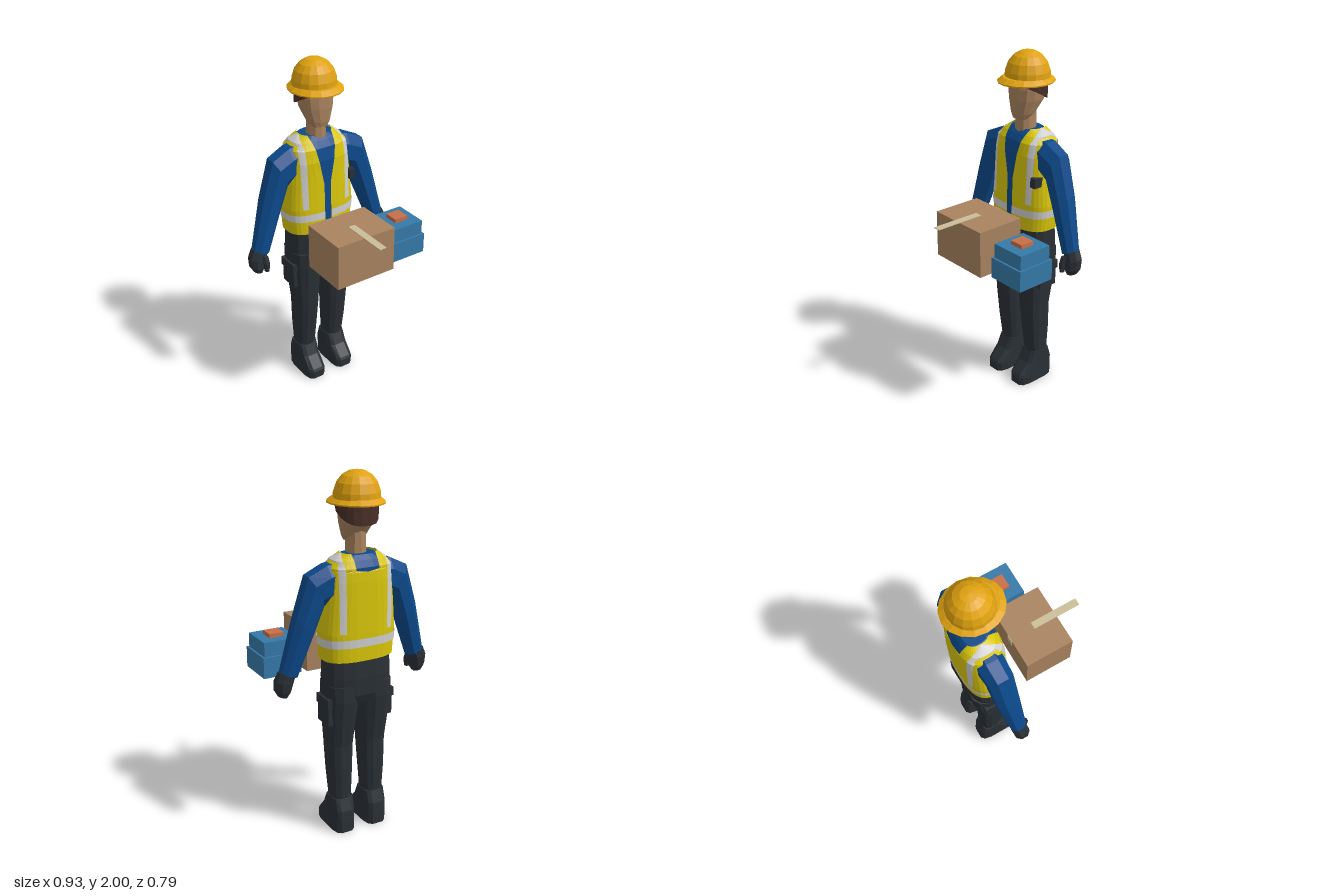
import * as THREE from 'three';

const mat = (name, color, side = THREE.FrontSide) => {
  const m = new THREE.MeshStandardMaterial({ color, side });
  m.name = name;
  return m;
};

// Flat-shaded copy of a geometry
function flat(geo) {
  const g = geo.index ? geo.toNonIndexed() : geo;
  g.computeVertexNormals();
  return g;
}

// Loop of points; section = [x1, y1, x0, y0, z0, z1], the two opposite edge points and the depth range
function ring([x1, y1, x0, y0, z0, z1], n, p) {
  const pw = v => Math.sign(v) * Math.abs(v) ** p;
  return Array.from({ length: n }, (_, i) => {
    const a = (i + 0.5) / n * Math.PI * 2, c = pw(Math.cos(a)), s = pw(Math.sin(a));
    return new THREE.Vector3((x1 + x0) / 2 + (x1 - x0) / 2 * c,
      (y1 + y0) / 2 + (y1 - y0) / 2 * c, (z1 + z0) / 2 + (z1 - z0) / 2 * s);
  });
}

// Capped skin through loops, turned outward by its signed volume
function loft(rings) {
  const tris = [], n = rings[0].length;
  const centre = r => r.reduce((s, v) => s.add(v), new THREE.Vector3()).divideScalar(n);
  const first = rings[0], last = rings[rings.length - 1], c0 = centre(first), c1 = centre(last);
  for (let i = 0; i < n; i++) {
    const j = (i + 1) % n;
    tris.push([c0, first[j], first[i]], [c1, last[i], last[j]]);
    for (let k = 0; k + 1 < rings.length; k++) {
      const a = rings[k], b = rings[k + 1];
      tris.push([a[i], a[j], b[j]], [a[i], b[j], b[i]]);
    }
  }
  const vol = tris.reduce((s, [a, b, c]) => s + a.clone().sub(c0).dot(b.clone().sub(c0).cross(c.clone().sub(c0))), 0);
  const pts = tris.flatMap(t => (vol < 0 ? [t[0], t[2], t[1]] : t));
  return flat(new THREE.BufferGeometry().setFromPoints(pts));
}

// Torso sections: y, half width, back z, front z
const TORSO = [[1.02, 0.198, -0.36, -0.125], [1.17, 0.208, -0.362, -0.126], [1.32, 0.195, -0.362, -0.13],
  [1.45, 0.182, -0.362, -0.132], [1.52, 0.172, -0.358, -0.145], [1.555, 0.14, -0.34, -0.168], [1.58, 0.09, -0.32, -0.192]];
const TP = 0.75;

function torsoAt(y) {
  let k = 0;
  while (k < TORSO.length - 2 && y > TORSO[k + 1][0]) k++;
  const a = TORSO[k], b = TORSO[k + 1], t = (y - a[0]) / (b[0] - a[0]);
  return a.map((v, i) => v + (b[i] - v) * t);
}

// Thin cloth patch on the torso between x limits; s = side, f = front (1) or back (-1)
function patch(y0, y1, xa, xb, s, f, off) {
  const ys = [y0, y1, ...[...TORSO.map(r => r[0]), 1.31, 1.5, 1.51].filter(y => y > y0 && y < y1)];
  ys.sort((a, b) => a - b);
  const N = 8, pts = [];
  const rows = ys.map(y => {
    const [, w, zb, zf] = torsoAt(y);
    const ang = x => Math.asin(Math.min(1, x / w) ** (1 / TP));
    const a = ang(xa(y)), b = ang(xb);
    return Array.from({ length: N + 1 }, (_, i) => {
      const t = a + (b - a) * i / N;
      return new THREE.Vector3(s * (w + off) * Math.sin(t) ** TP, y + (y > 1.57 ? off : 0),
        (zf + zb) / 2 + f * ((zf - zb) / 2 + off) * Math.max(0, Math.cos(t)) ** TP);
    });
  });
  for (let k = 0; k + 1 < rows.length; k++) for (let i = 0; i < N; i++) {
    const a = rows[k][i], b = rows[k][i + 1], c = rows[k + 1][i + 1], d = rows[k + 1][i];
    pts.push(...(s * f > 0 ? [a, b, c, a, c, d] : [a, c, b, a, d, c]));
  }
  return flat(new THREE.BufferGeometry().setFromPoints(pts));
}

export function createModel() {
  const M = {
    vest: mat('vest yellow', 0xd9c60a, THREE.DoubleSide), gold: mat('helmet gold', 0xe0a20f),
    blue: mat('shirt blue', 0x0c4a8c), dark: mat('charcoal', 0x2a3036),
    tan: mat('tan', 0xa9835f), hair: mat('hair brown', 0x4a2f28),
    silver: mat('reflective silver', 0xcfcfcf, THREE.DoubleSide), crate: mat('crate blue', 0x3579a8),
    orange: mat('orange', 0xc66f47), tape: mat('tape beige', 0xcabd98),
  };
  const model = new THREE.Group();
  const add = (name, geo, m) => {
    const mesh = new THREE.Mesh(geo, m);
    mesh.name = name;
    model.add(mesh);
    return mesh;
  };
  const box = (name, x0, x1, y0, y1, z0, z1, m) =>
    add(name, new THREE.BoxGeometry(x1 - x0, y1 - y0, z1 - z0), m)
      .position.set((x0 + x1) / 2, (y0 + y1) / 2, (z0 + z1) / 2);
  // Stack of sections [y, x0, x1, z0, z1], mirrored by s
  const stack = (rows, n, p, s = 1) => loft(rows.map(([y, x0, x1, z0, z1]) => ring([s * x1, y, s * x0, y, z0, z1], n, p)));

  // Shirt body, neck and head
  add('shirt', stack(TORSO.map(([y, w, zb, zf]) => [y, -w, w, zb, zf]), 20, TP), M.blue);
  add('neck', stack([[1.55, -0.056, 0.056, -0.295, -0.175], [1.7, -0.05, 0.05, -0.29, -0.18]], 10, 0.9), M.tan);
  add('head', stack([[1.635, -0.045, 0.045, -0.22, -0.162], [1.665, -0.066, 0.066, -0.27, -0.154],
    [1.74, -0.092, 0.092, -0.325, -0.148], [1.8, -0.1, 0.1, -0.335, -0.148], [1.86, -0.098, 0.098, -0.335, -0.155]], 12, 0.85), M.tan);

  // Hair with a lower edge that drops towards the back
  const under = ring([0.108, 1.8, -0.108, 1.8, -0.345, -0.14], 16, 0.85);
  under.forEach(v => { v.y = Math.min(1.83, 1.8 + (v.z + 0.2) * 0.5); });
  add('hair', loft([under, ring([0.112, 1.855, -0.112, 1.855, -0.347, -0.142], 16, 0.85)]), M.hair);

  // Helmet
  const lathe = pts => flat(new THREE.LatheGeometry(pts.map(p => new THREE.Vector2(...p)), 16));
  add('helmetDome', lathe([[0.126, 1.845], [0.122, 1.89], [0.106, 1.937], [0.078, 1.972], [0.042, 1.993], [0, 2]]), M.gold)
    .position.z = -0.243;
  const brim = add('helmetBrim', lathe([[0, 1.838], [0.11, 1.838], [0.148, 1.833], [0.149, 1.84], [0.122, 1.862], [0, 1.862]]), M.gold);
  brim.position.z = -0.234;
  brim.scale.z = 1.11;

  // Trouser seat
  add('hips', stack([[0.77, -0.1, 0.1, -0.335, -0.165], [0.82, -0.192, 0.192, -0.357, -0.132],
    [0.92, -0.198, 0.198, -0.36, -0.13], [1.03, -0.192, 0.192, -0.355, -0.13]], 16, 0.75), M.dark);

  const neckline = y => (y < 1.31 ? 0.02 : 0.02 + (y - 1.31) / 0.27 * 0.05);
  const yoke = y => (y > 1.505 ? 0.065 : 0);
  for (const s of [1, -1]) {
    const side = s > 0 ? 'left' : 'right';
    // Vest panels and reflective bands
    add(side + 'VestFront', patch(1.02, 1.58, neckline, 1, s, 1, 0.007), M.vest);
    add(side + 'VestBack', patch(1.02, 1.58, yoke, 1, s, -1, 0.007), M.vest);
    add(side + 'WaistBandFront', patch(1.1, 1.145, () => 0.02, 1, s, 1, 0.011), M.silver);
    add(side + 'WaistBandBack', patch(1.1, 1.145, () => 0, 1, s, -1, 0.011), M.silver);
    for (const f of [1, -1])
      add(side + 'ShoulderBand' + (f > 0 ? 'Front' : 'Back'), patch(1.18, 1.58, () => 0.115, 0.147, s, f, 0.011), M.silver);

    // Sleeve, glove and thumb; sections follow the outer and inner edges
    const limb = rows => loft(rows.map(([a, b, c, d, e, f]) => ring([s * a, b, s * c, d, e, f], 8, 0.9)));
    add(side + 'Sleeve', limb([[0.1, 1.555, 0.1, 1.36, -0.32, -0.17], [0.19, 1.54, 0.165, 1.33, -0.325, -0.165],
      [0.295, 1.49, 0.2, 1.315, -0.315, -0.165], [0.365, 1.27, 0.253, 1.18, -0.303, -0.168],
      [0.44, 0.98, 0.343, 0.945, -0.267, -0.172]]), M.blue);
    add(side + 'Glove', limb([[0.445, 0.985, 0.355, 0.95, -0.262, -0.177], [0.468, 0.935, 0.365, 0.915, -0.262, -0.168],
      [0.466, 0.88, 0.378, 0.865, -0.255, -0.165], [0.445, 0.845, 0.395, 0.838, -0.24, -0.178]]), M.dark);
    add(side + 'Thumb', limb([[0.405, 0.95, 0.368, 0.94, -0.2, -0.16], [0.403, 0.9, 0.365, 0.9, -0.19, -0.148],
      [0.398, 0.855, 0.372, 0.855, -0.18, -0.15]]), M.dark);

    // Leg, shoe and thigh pocket
    add(side + 'Leg', stack([[0.17, 0.042, 0.158, -0.315, -0.19], [0.35, 0.034, 0.17, -0.32, -0.165],
      [0.52, 0.026, 0.176, -0.318, -0.147], [0.66, 0.018, 0.186, -0.34, -0.137],
      [0.79, 0.004, 0.194, -0.357, -0.132], [0.88, 0.0, 0.196, -0.357, -0.131]], 12, 0.8, s), M.dark);
    add(side + 'Shoe', stack([[0, 0.037, 0.165, -0.345, -0.087], [0.05, 0.036, 0.166, -0.345, -0.086],
      [0.065, 0.037, 0.165, -0.345, -0.094], [0.13, 0.037, 0.165, -0.34, -0.155], [0.2, 0.037, 0.163, -0.315, -0.19]], 12, 0.5, s), M.dark);
    const bx = [s * 0.17, s * 0.198].sort((a, b) => a - b), fx = [s * 0.17, s * 0.205].sort((a, b) => a - b);
    box(side + 'Pocket', ...bx, 0.655, 0.8, -0.305, -0.185, M.dark);
    box(side + 'PocketFlap', ...fx, 0.76, 0.81, -0.312, -0.178, M.dark);
  }
  box('chestPouch', 0.153, 0.19, 1.29, 1.345, -0.2, -0.132, M.dark);

  // Cardboard box with tape
  box('carton', -0.186, 0.186, 0.88, 1.145, -0.035, 0.252, M.tan);
  box('topTape', -0.021, 0.021, 1.146, 1.15, 0.108, 0.395, M.tape);
  box('backTape', -0.021, 0.021, 1.08, 1.145, -0.038, -0.035, M.tape);

  // Stacked crate with a small parcel on top
  box('crateBase', 0.218, 0.443, 0.88, 0.998, -0.028, 0.2, M.crate);
  box('crateLid', 0.229, 0.432, 0.998, 1.08, -0.016, 0.188, M.crate);
  box('parcel', 0.288, 0.373, 1.08, 1.103, 0.043, 0.128, M.orange);
  return model;
}
